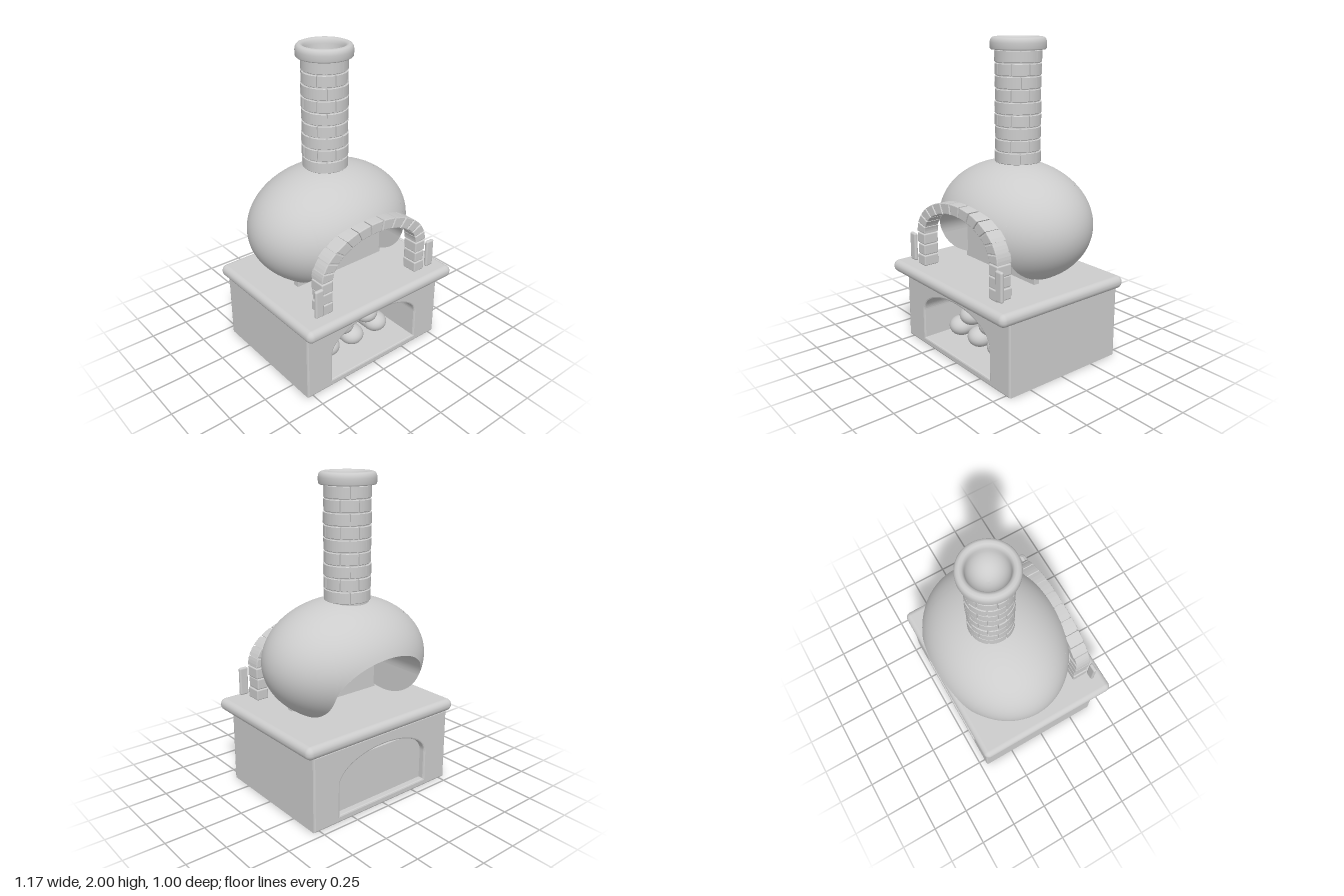
import * as THREE from 'three';
import { mergeVertices } from 'three/addons/utils/BufferGeometryUtils.js';
import { RoundedBoxGeometry } from 'three/addons/geometries/RoundedBoxGeometry.js';

const clay = new THREE.MeshStandardMaterial({ color: 0xcccccc, side: THREE.DoubleSide });
clay.name = 'clay grey';

function add(parent, name, geometry, x = 0, y = 0, z = 0) {
  const mesh = new THREE.Mesh(geometry, clay);
  mesh.name = name;
  mesh.position.set(x, y, z);
  parent.add(mesh);
  return mesh;
}

function subgroup(parent, name) {
  const g = new THREE.Group();
  g.name = name;
  parent.add(g);
  return g;
}

// Smooth sheet through the points f(u, v), u and v from 0 to 1
function sheet(f, nu, nv) {
  const pos = [], index = [];
  for (let i = 0; i <= nu; i++)
    for (let j = 0; j <= nv; j++) pos.push(...f(i / nu, j / nv));
  for (let i = 0; i < nu; i++)
    for (let j = 0; j < nv; j++) {
      const a = i * (nv + 1) + j, b = a + nv + 1;
      index.push(a, b, a + 1, b, b + 1, a + 1);
    }
  let g = new THREE.BufferGeometry();
  g.setAttribute('position', new THREE.Float32BufferAttribute(pos, 3));
  g.setIndex(index);
  g = mergeVertices(g, 1e-5);
  g.computeVertexNormals();
  return g;
}

function polygon(points) {
  return new THREE.Shape(points.map(([x, y]) => new THREE.Vector2(x, y)));
}

function extrude(shape, depth, bevel) {
  return new THREE.ExtrudeGeometry(shape, {
    depth: depth - 2 * bevel, bevelEnabled: true, bevelSize: bevel, bevelThickness: bevel,
    bevelOffset: -bevel, bevelSegments: 2, curveSegments: 24,
  }).translate(0, 0, bevel);
}

// Base block with an arched tunnel for the wood, and the worktop
function buildBase(root) {
  const g = subgroup(root, 'base');
  const s = polygon([[-0.54, 0], [0.54, 0], [0.54, 0.48], [-0.54, 0.48]]);
  const hole = new THREE.Path();
  hole.moveTo(-0.35, 0.045);
  hole.lineTo(0.35, 0.045);
  hole.lineTo(0.35, 0.24);
  hole.absellipse(0, 0.24, 0.35, 0.165, 0, Math.PI, false);
  hole.lineTo(-0.35, 0.045);
  s.holes.push(hole);
  add(g, 'baseBlock', extrude(s, 0.867, 0.01), 0, 0, -0.457);
  add(g, 'woodStoreBackPanel', new THREE.BoxGeometry(0.72, 0.335, 0.03), 0, 0.2025, -0.4);
  add(g, 'worktop', new RoundedBoxGeometry(1.174, 0.08, 0.975, 5, 0.038), 0, 0.51, 0.0125);
}

// Stacked logs inside the base
function buildLogs(root) {
  const g = subgroup(root, 'logs');
  for (const [x, y] of [[-0.225, 0.12], [-0.02, 0.115], [0.185, 0.125], [-0.105, 0.237], [0.1, 0.237]]) {
    const geo = new THREE.CapsuleGeometry(0.08, 0.34, 10, 28).rotateX(Math.PI / 2).scale(1, 0.81, 1);
    add(g, 'log', geo, x, y, 0.03);
  }
}

// Ellipsoid dome cut through from front to back by an arched tunnel
function buildDome(root) {
  const g = subgroup(root, 'dome');
  const rx = 0.547, ry = 0.385, rz = 0.445, cy = 0.865, cz = -0.07;
  const w = 0.335, spring = 0.75, rise = 0.215;
  const point = (x, a) => {
    const s = Math.sqrt(Math.max(0, 1 - (x / rx) ** 2));
    return [x, cy + ry * s * Math.sin(a), cz + rz * s * Math.cos(a)];
  };
  const startAngle = (x) => {
    const y = spring + rise * Math.sqrt(Math.max(0, 1 - (x / w) ** 2));
    return Math.asin((y - cy) / (ry * Math.sqrt(1 - (x / rx) ** 2)));
  };
  const across = (u) => w * Math.sin((u - 0.5) * Math.PI);
  const span = (x, a, v) => {
    const [, y, z] = point(x, a);
    return [x, y, z + (2 * cz - 2 * z) * v];
  };
  add(g, 'domeCrown', sheet((u, v) => {
    const x = across(u), a = startAngle(x);
    return point(x, a + (Math.PI - 2 * a) * v);
  }, 48, 40));
  add(g, 'tunnelCeiling', sheet((u, v) => span(across(u), startAngle(across(u)), v), 40, 2));
  const p0 = Math.asin(w / rx), a0 = startAngle(w);
  for (const side of [-1, 1]) {
    add(g, 'domeSide', sheet((u, v) =>
      point(side * rx * Math.sin(p0 + (Math.PI / 2 - p0) * u), v * Math.PI * 2), 24, 72));
    add(g, 'tunnelWall', sheet((u, v) =>
      span(side * w, a0 - u * (a0 + Math.PI / 2), v), 24, 2));
  }
  add(g, 'ovenBackPanel', new THREE.BoxGeometry(0.69, 0.36, 0.04), 0, 0.73, 0.04);
}

// Brick arch around the oven mouth
function buildArch(root) {
  const g = subgroup(root, 'brickArch');
  const cy = 0.77;
  const ring = (t, k) => [(0.335 + 0.083 * k) * Math.cos(t), cy + (0.195 + 0.068 * k) * Math.sin(t)];
  const wedge = (t0, t1, k0, k1, n) => {
    const pts = [];
    for (let i = 0; i <= n; i++) pts.push(ring(t0 + (t1 - t0) * i / n, k1));
    for (let i = n; i >= 0; i--) pts.push(ring(t0 + (t1 - t0) * i / n, k0));
    return polygon(pts);
  };
  const count = 13, step = Math.PI / count;
  for (let i = 0; i < count; i++) {
    const inset = i % 2 ? 0.006 : 0;
    add(g, 'archBrick', extrude(wedge(i * step + 0.012, (i + 1) * step - 0.012, 0, 1, 3), 0.105 - inset, 0.005), 0, 0, 0.295 + inset);
  }
  add(g, 'archMortar', extrude(wedge(0, Math.PI, 0.1, 0.88, 32), 0.085, 0.002), 0, 0, 0.305);
  for (const side of [-1, 1]) {
    for (let i = 0; i < 3; i++)
      add(g, 'legBrick', new RoundedBoxGeometry(0.083 - (i % 2) * 0.008, 0.07, 0.105, 2, 0.008),
        side * (0.377 - (i % 2) * 0.003), 0.585 + i * 0.073, 0.3475);
    add(g, 'legMortar', new THREE.BoxGeometry(0.064, 0.22, 0.085), side * 0.377, 0.66, 0.3475);
    add(g, 'sidePlate', new RoundedBoxGeometry(0.06, 0.185, 0.025, 3, 0.011), side * 0.449, 0.662, 0.409);
  }
}

// Round brick chimney with a rounded, hollow cap
function buildChimney(root) {
  const g = subgroup(root, 'chimney');
  g.position.z = -0.095;
  add(g, 'chimneyCore', new THREE.CylinderGeometry(0.133, 0.133, 0.74, 48, 1, true), 0, 1.57, 0);
  const rows = 9, perRow = 8, h = 0.0765, arc = Math.PI * 2 / perRow;
  for (let r = 0; r < rows; r++)
    for (let i = 0; i < perRow; i++) {
      const R = 0.145 - ((r * 3 + i * 5) % 4) * 0.0012;
      const a = (i + (r % 2) / 2) * arc + 0.2, gap = 0.025;
      const s = new THREE.Shape();
      s.absarc(0, 0, R, a + gap, a + arc - gap, false);
      s.absarc(0, 0, 0.122, a + arc - gap, a + gap, true);
      const geo = new THREE.ExtrudeGeometry(s, {
        depth: h - 0.012, bevelSize: 0.003, bevelThickness: 0.003, bevelOffset: -0.003,
        bevelSegments: 1, curveSegments: 6,
      }).rotateX(-Math.PI / 2);
      add(g, 'chimneyBrick', geo, 0, 1.236 + r * h + 0.006, 0);
    }
  const cap = [[0.125, 1.925], [0.166, 1.925], [0.172, 1.932], [0.173, 1.965], [0.17, 1.982],
    [0.161, 1.995], [0.147, 2], [0.133, 1.995], [0.124, 1.983], [0.12, 1.965]];
  for (let i = 1; i <= 10; i++) {
    const t = i / 10 * Math.PI / 2;
    cap.push([0.12 * Math.cos(t), 1.965 - 0.14 * Math.sin(t)]);
  }
  add(g, 'chimneyCap', new THREE.LatheGeometry(cap.map(([x, y]) => new THREE.Vector2(Math.max(x, 0), y)), 64));
}

export function createModel() {
  const root = new THREE.Group();
  root.name = 'brickOven';
  buildBase(root);
  buildLogs(root);
  buildDome(root);
  buildArch(root);
  buildChimney(root);
  return root;
}
